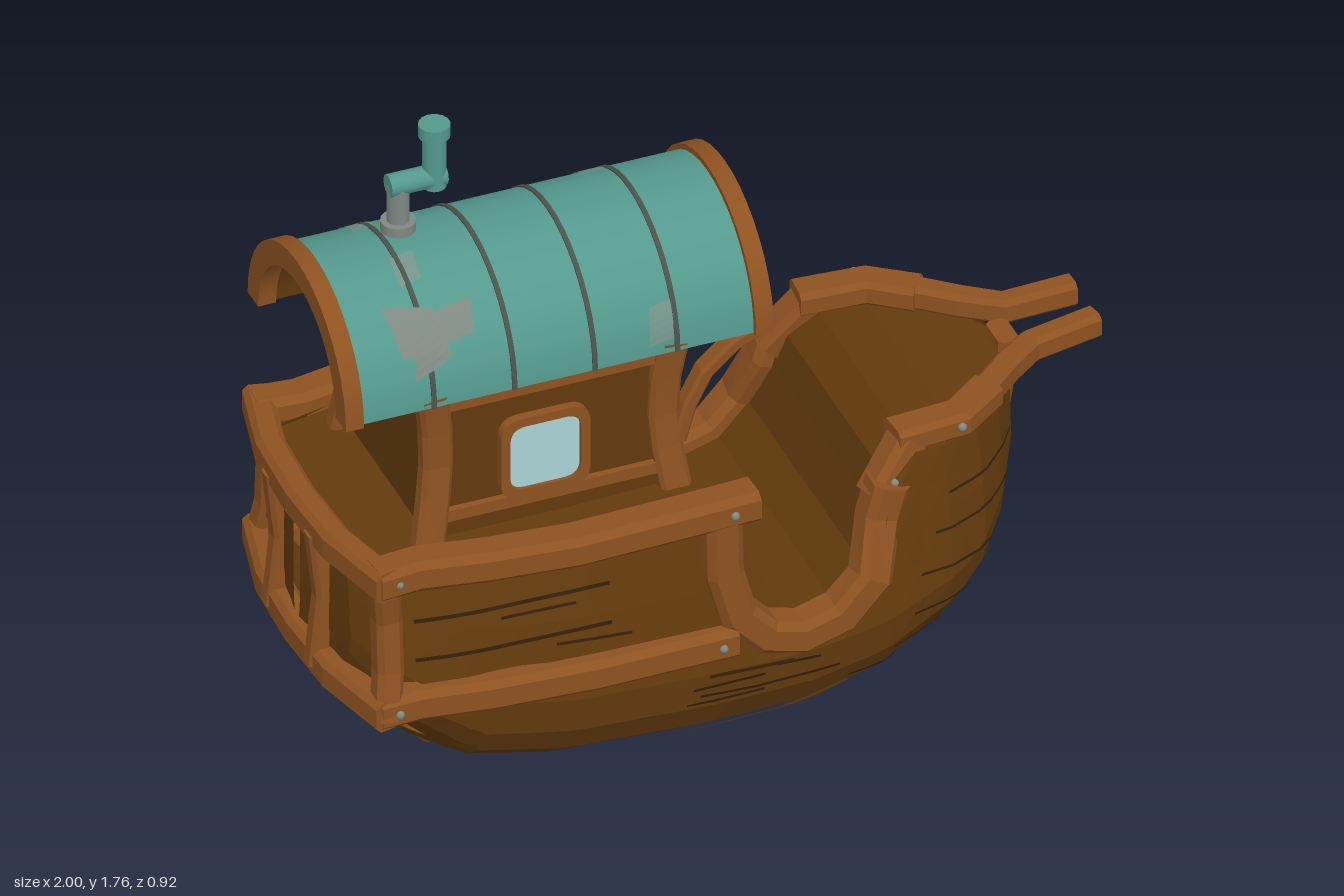
import * as THREE from 'three';
import { toCreasedNormals } from 'three/addons/utils/BufferGeometryUtils.js';

const V = (x, y, z) => new THREE.Vector3(x, y, z);
const mat = (name, color, side = THREE.FrontSide) => {
  const m = new THREE.MeshStandardMaterial({ color, side });
  m.name = name;
  return m;
};

// Linear lookup in a short [key, value] table
function look(table, k) {
  if (k <= table[0][0]) return table[0][1];
  for (let i = 1; i < table.length; i++) {
    const [a, p] = table[i - 1], [b, q] = table[i];
    if (k <= b) return p + (q - p) * (k - a) / (b - a);
  }
  return table[table.length - 1][1];
}

// Hull shape: keel height, half beam, section curve, and the boarding cut
const KEEL = [[-0.97, 0.45], [-0.9, 0.37], [-0.8, 0.24], [-0.65, 0.1], [-0.45, 0.05], [-0.1, 0.03],
  [0.15, 0.04], [0.35, 0.1], [0.55, 0.23], [0.68, 0.39], [0.75, 0.56], [0.785, 0.79]];
const BEAM = [[-0.97, 0.02], [-0.94, 0.25], [-0.9, 0.34], [-0.7, 0.39], [-0.4, 0.41], [0, 0.42],
  [0.3, 0.42], [0.5, 0.4], [0.6, 0.355], [0.68, 0.265], [0.74, 0.165], [0.785, 0.04]];
const SECTION = [[0, 0], [0.01, 0.2], [0.05, 0.4], [0.1, 0.56], [0.2, 0.81], [0.3, 0.94], [0.42, 1], [0.7, 0.95], [1, 0.86]];
const CUT = [[-0.08, 0.82], [-0.075, 0.65], [-0.04, 0.52], [0.03, 0.445], [0.12, 0.42], [0.22, 0.45],
  [0.295, 0.53], [0.335, 0.66], [0.36, 0.75], [0.43, 0.81]];
const TOP = 0.82;
const sAt = (x, y) => (y - look(KEEL, x)) / (TOP - look(KEEL, x));
const halfWidth = (x, y) => look(BEAM, x) * look(SECTION, sAt(x, y));
function hullPoint(x, y, side, off) {
  const e = 0.02, w = halfWidth(x, y);
  const n = V(halfWidth(x - e, y) - halfWidth(x + e, y), halfWidth(x, y - e) - halfWidth(x, y + e), 2 * e).normalize();
  return V(x + n.x * off, y + n.y * off, side * (w + n.z * off));
}

export function createModel() {
  const group = new THREE.Group();
  const D = THREE.DoubleSide;
  const wood = mat('dark wood', 0x633a0c, D), trim = mat('trim wood', 0x8e5220), teal = mat('teal roof', 0x54998d),
    seam = mat('dark seam', 0x4b524a, D), tin = mat('grey metal', 0x7f8983, D), lightTin = mat('light metal', 0x98a4a1, D),
    worn = mat('worn teal', 0x73948a, D), glass = mat('window glass', 0xaad3d6), crack = mat('wood cracks', 0x35200a, D);

  function add(name, geo, m, x = 0, y = 0, z = 0) {
    const mesh = new THREE.Mesh(geo, m);
    mesh.name = name;
    mesh.position.set(x, y, z);
    group.add(mesh);
    return mesh;
  }
  // Faceted surface from a grid of points
  function grid(name, nu, nv, fn, m) {
    const pos = [], idx = [];
    for (let i = 0; i <= nu; i++) for (let j = 0; j <= nv; j++) pos.push(...fn(i, j).toArray());
    for (let i = 0; i < nu; i++) for (let j = 0; j < nv; j++) {
      const a = i * (nv + 1) + j, b = a + nv + 1;
      idx.push(a, b, b + 1, a, b + 1, a + 1);
    }
    let g = new THREE.BufferGeometry();
    g.setAttribute('position', new THREE.Float32BufferAttribute(pos, 3));
    g.setIndex(idx);
    g = g.toNonIndexed();
    g.computeVertexNormals();
    return add(name, g, m);
  }
  // Chamfered timber along a path: h lies along the hint direction, w across it
  function beam(name, pts, w, h, hint) {
    const c = Math.min(w, h) * 0.2, a = w / 2, b = h / 2, out = [];
    const sec = [[a, c - b], [a, b - c], [a - c, b], [c - a, b], [-a, b - c], [-a, c - b], [c - a, -b], [a - c, -b]];
    const rings = pts.map((p, i) => {
      const t = pts[Math.min(i + 1, pts.length - 1)].clone().sub(pts[Math.max(i - 1, 0)]).normalize();
      const n = t.clone().cross(hint).normalize(), s = n.clone().cross(t);
      return sec.map(([u, v]) => p.clone().addScaledVector(n, u).addScaledVector(s, v));
    });
    const tri = (...v) => v.forEach(p => out.push(p.x, p.y, p.z));
    const last = rings.length - 1;
    for (let j = 0; j < 8; j++) {
      const k = (j + 1) % 8;
      for (let i = 0; i < last; i++) {
        const p = rings[i], q = rings[i + 1];
        tri(p[j], q[j], q[k]);
        tri(p[j], q[k], p[k]);
      }
      tri(pts[0], rings[0][j], rings[0][k]);
      tri(pts[last], rings[last][k], rings[last][j]);
    }
    const g = new THREE.BufferGeometry();
    g.setAttribute('position', new THREE.Float32BufferAttribute(out, 3));
    g.computeVertexNormals();
    return add(name, g, trim);
  }
  const Y = V(0, 1, 0), Z = V(0, 0, 1);

  // Planked hull: overlapping strakes that fade out at the bow, open at the boarding cut
  const strakes = [0, 0.03, 0.1, 0.2, 0.31, 0.44, 0.58, 0.72, 0.86, 1], rows = [];
  for (let i = 0; i + 1 < strakes.length; i++) rows.push([strakes[i], i ? 0.012 : 0], [strakes[i + 1], 0]);
  const xs = [...new Set([...KEEL, ...BEAM, ...CUT].map(p => p[0]).concat(-0.25, -0.55))].sort((a, b) => a - b);
  const R = rows.length - 1;
  grid('hull', xs.length - 1, 2 * R, (i, j) => {
    const x = xs[i], [s0, off] = rows[Math.abs(j - R)], k = look(KEEL, x);
    const s = Math.min(s0, sAt(x, look(CUT, x)));
    const fade = Math.min(1, look(BEAM, x) * 4, Math.max(0, (0.55 - x) * 4));
    return V(x, k + s * (TOP - k), Math.sign(j - R) * (halfWidth(x, k + s * (TOP - k)) + off * fade));
  }, wood);

  // Deck that dips through the boarding cut and rises to the bow
  const deck = [[-0.93, 0.81], [-0.7, 0.81], [-0.4, 0.81], ...CUT, [0.55, 0.8], [0.65, 0.8], [0.72, 0.8], [0.77, 0.8]];
  grid('deck', deck.length - 1, 1, (i, j) => {
    const [x, y] = deck[i];
    return V(x, y, (j ? 1 : -1) * (i < 3 ? 0.36 : halfWidth(x, y)));
  }, wood);

  // Keel and stem
  beam('keel', [...KEEL.map(([x, y]) => V(x, y, 0)), V(0.785, 0.83, 0)], 0.052, 0.095, Z);

  // Rails, posts and trim, mirrored to both sides
  for (const s of [1, -1]) {
    beam('upperRail', [[0.005, 0.395], [-0.2, 0.403], [-0.45, 0.41], [-0.65, 0.39], [-0.82, 0.36], [-0.93, 0.37]]
      .map(([x, z]) => V(x, 0.824, s * z)), 0.095, 0.084, Y);
    beam('lowerRail', [[-0.05, 0.41], [-0.4, 0.412], [-0.65, 0.395], [-0.82, 0.37], [-0.925, 0.375]]
      .map(([x, z]) => V(x, 0.46, s * z)), 0.08, 0.084, Y);
    beam('sternPost', [V(-0.905, 0.44, s * 0.385), V(-0.89, 0.56, s * 0.36), V(-0.89, 0.7, s * 0.35), V(-0.905, 0.82, s * 0.37)], 0.065, 0.065, Z);
    beam('sternStud', [V(-0.975, 0.45, s * 0.13), V(-0.955, 0.64, s * 0.13), V(-0.975, 0.82, s * 0.13)], 0.05, 0.05, Z);
    beam('cutTrim', CUT.slice(0, 9).map(([x, y]) => V(x, y, s * (x > 0.32 ? 0.345 : 0.395))), 0.09, 0.095, Z);
    beam('bowRailRise', [V(0.335, 0.7, s * 0.33), V(0.43, 0.82, s * 0.297)], 0.085, 0.09, Z);
    beam('bowRail', [[0.4, 0.297], [0.55, 0.288], [0.63, 0.235], [0.74, 0.14], [0.82, 0.083], [0.995, s > 0 ? 0.047 : 0.09]]
      .map(([x, z], i) => V(x, 0.832, s * z)), 0.062, 0.066, Y);
    beam('bowRailShoulder', [V(0.39, 0.832, s * 0.297), V(0.56, 0.832, s * 0.285), V(0.66, 0.832, s * 0.21)], 0.088, 0.066, Y);
    // Rivets
    for (const [x, y, z] of [[-0.88, 0.825, 0.408], [-0.06, 0.825, 0.446], [-0.88, 0.46, 0.413], [-0.09, 0.46, 0.45], [0.37, 0.75, 0.363], [0.55, 0.84, 0.334]])
      add('rivet', new THREE.SphereGeometry(0.011, 8, 6), tin, x, y, s * z);
  }
  for (const [y, name] of [[0.824, 'sternUpperRail'], [0.46, 'sternLowerRail']])
    beam(name, [V(-0.905, y, 0.405), V(-0.955, y, 0.2), V(-0.965, y, 0), V(-0.955, y, -0.2), V(-0.905, y, -0.405)], 0.07, 0.08, Y);

  // Loose planks and cracks on the hull
  let seed = 7;
  const rnd = () => (seed = (seed * 16807) % 2147483647) / 2147483647;
  const hullPatch = (name, x0, x1, y0, y1, s, off, m, skew = 0) => grid(name, 6, 2, (i, j) => {
    const x = x0 + (x1 - x0) * i / 6;
    return hullPoint(x, y0 + (y1 - y0) * j / 2 + skew * i / 6, s, off);
  }, m);
  for (const s of [1, -1]) {
    for (let i = 0; i < 12; i++) {
      const x = -0.75 + 1.1 * rnd(), y = 0.24 + 0.14 * rnd() + (x < -0.3 ? 0.35 * rnd() : 0);
      hullPatch('crack', x, x + 0.1 + 0.12 * rnd(), y, y + 0.008, s, 0.01, crack, 0.02 * rnd() - 0.01);
    }
    for (const y of [0.56, 0.66, 0.74]) hullPatch('crack', -0.82, -0.35, y, y + 0.01, s, 0.012, crack, 0.01);
    for (const [x0, x1, y] of [[0.42, 0.66, 0.5], [0.46, 0.7, 0.6], [0.5, 0.72, 0.69], [0.4, 0.56, 0.4], [0.36, 0.5, 0.3]])
      hullPatch('bowCrack', x0, x1, y, y + 0.007, s, 0.006, crack, 0.01);
    hullPatch('loosePlank', -0.2, 0.28, 0.12, 0.17, s, 0.017, wood, 0.02);
    hullPatch('loosePlank', -0.8, -0.66, 0.3, 0.25, s, 0.02, wood);
  }

  // Metal patch on the bow, laid on the hull by solving for x
  const quad = [V(0, 0.315, -0.105), V(0, 0.435, -0.31), V(0, 0.2, -0.16), V(0, 0.31, -0.355)];
  grid('bowPatch', 6, 6, (i, j) => {
    const p = quad[0].clone().lerp(quad[1], i / 6).lerp(quad[2].clone().lerp(quad[3], i / 6), j / 6);
    let a = 0.2, b = 0.785;
    for (let k = 0; k < 24; k++) {
      const c = (a + b) / 2;
      if (halfWidth(c, p.y) > -p.z) a = c; else b = c;
    }
    return hullPoint(a, p.y, -1, 0.018);
  }, lightTin);

  // Arched roof pieces, extruded along x
  const BASE = 1.21, arc = (r, a) => [r * Math.cos(a), r * 0.945 * Math.sin(a)];
  const arcPts = (r, n = 20) => Array.from({ length: n + 1 }, (_, i) => new THREE.Vector2(...arc(r, Math.PI * i / n)));
  const alongX = (name, shape, x0, x1, y, m) => {
    const g = new THREE.ExtrudeGeometry(shape, { depth: x1 - x0, bevelEnabled: false }).rotateY(Math.PI / 2);
    return add(name, toCreasedNormals(g, 0.5), m, x0, y, 0);
  };
  const arch = (name, x0, x1, ro, ri, m) => alongX(name, new THREE.Shape([...arcPts(ro), ...arcPts(ri).reverse()]), x0, x1, BASE, m);
  arch('roof', -0.93, 0.06, 0.287, 0.272, teal);
  arch('roofLining', -0.93, 0.06, 0.271, 0.25, wood);
  for (const x of [-0.97, 0.05]) arch('roofEndTrim', x, x + 0.045, 0.302, 0.238, trim);
  for (const x of [-0.745, -0.545, -0.345, -0.14]) arch('roofSeam', x - 0.006, x + 0.006, 0.291, 0.28, seam);
  const roofPatch = (name, x0, x1, a0, a1, r, m, skew = 0) => grid(name, 2, 5, (i, j) => {
    const [z, y] = arc(r, a0 + (a1 - a0) * j / 5 + skew * i);
    return V(x0 + (x1 - x0) * i / 2 + skew * j * 0.1, BASE + y, z);
  }, m);
  roofPatch('roofPatch', -0.81, -0.69, 0.5, 0.95, 0.294, tin, -0.04);
  roofPatch('roofPatch', -0.74, -0.63, 0.53, 0.82, 0.295, tin, 0.03);
  roofPatch('roofPatch', -0.79, -0.71, 0.3, 0.72, 0.298, tin, 0.05);
  for (const [x, a0, a1] of [[-0.21, 0.1, 0.45], [-0.79, 1.9, 2.6], [-0.21, 2, 2.5], [-0.77, 1.1, 1.4]])
    roofPatch('wornSpot', x, x + 0.06, a0, a1, 0.2895, worn, 0.02);

  // Cabin: arched end walls, side walls, posts, braces and windows
  const endWall = new THREE.Shape([new THREE.Vector2(0.24, 0.8 - BASE), ...arcPts(0.255), new THREE.Vector2(-0.24, 0.8 - BASE)]);
  alongX('frontWall', endWall, -0.18, -0.155, BASE, wood);
  alongX('backWall', endWall, -0.74, -0.715, BASE, wood);
  const rounded = (path, r, c) => {
    path.moveTo(-r + c, -r);
    for (const [x, y] of [[1, -1], [1, 1], [-1, 1], [-1, -1]]) {
      const h = x * y < 0;
      path.lineTo(x * (h ? r - c : r), y * (h ? r : r - c));
      path.quadraticCurveTo(x * r, y * r, x * (h ? r : r - c), y * (h ? r - c : r));
    }
    return path;
  };
  for (const s of [1, -1]) {
    add('sideWall', new THREE.BoxGeometry(0.57, 0.43, 0.025), wood, -0.45, 1.01, s * 0.235);
    for (const y of [1.185, 0.875]) add('wallTrim', new THREE.BoxGeometry(0.57, 0.03, 0.03), trim, -0.45, y, s * 0.25);
    for (const [x, d] of [[-0.735, -1], [-0.15, 1]])
      beam('cabinPost', [[1.23, 0.008, 0.262], [1.12, -0.008, 0.248], [1.02, -0.012, 0.242], [0.93, -0.004, 0.246], [0.8, 0.016, 0.26]]
        .map(([y, dx, z]) => V(x + d * dx, y, s * z)), 0.075, 0.05, Z);
    beam('roofBrace', [V(0.08, 1.215, s * 0.26), V(0.01, 1.18, s * 0.257), V(-0.06, 1.115, s * 0.253), V(-0.1, 1.03, s * 0.248), V(-0.125, 0.94, s * 0.246)], 0.036, 0.05, Z);
    const frame = rounded(new THREE.Shape(), 0.111, 0.05);
    frame.holes.push(rounded(new THREE.Path(), 0.088, 0.04));
    const fg = new THREE.ExtrudeGeometry(frame, { depth: 0.03, bevelEnabled: false });
    const pane = new THREE.ExtrudeGeometry(rounded(new THREE.Shape(), 0.09, 0.038), { depth: 0.008, bevelEnabled: false });
    add('windowFrame', fg, trim, -0.46, 0.995, s > 0 ? 0.24 : -0.27);
    add('windowPane', pane, glass, -0.46, 0.995, s > 0 ? 0.252 : -0.26);
  }
  add('frontBeam', new THREE.BoxGeometry(0.03, 0.03, 0.5), wood, -0.15, 1.215, 0);

  // Arched plank door
  const doorArc = (r) => [new THREE.Vector2(r, -0.27), ...Array.from({ length: 13 }, (_, i) =>
    new THREE.Vector2(r * Math.cos(Math.PI * i / 12), r * Math.sin(Math.PI * i / 12))), new THREE.Vector2(-r, -0.27)];
  alongX('doorFrame', new THREE.Shape([...doorArc(0.108), ...doorArc(0.085).reverse()]), -0.156, -0.125, 1.075, trim);
  alongX('door', new THREE.Shape(doorArc(0.086)), -0.156, -0.145, 1.075, wood);
  for (const z of [-0.045, -0.015, 0.015, 0.045])
    add('doorGap', new THREE.BoxGeometry(0.006, 0.33, 0.01), crack, -0.144, 0.97, z);

  // Crooked chimney pipe
  const tube = (name, r, h, x, y, m) => add(name, new THREE.CylinderGeometry(r, r, h, 14), m, x, y, -0.045);
  tube('chimneyFlange', 0.042, 0.025, -0.7, 1.5, tin);
  tube('chimneyLower', 0.027, 0.12, -0.7, 1.55, tin);
  tube('chimneyElbow', 0.028, 0.14, -0.655, 1.613, teal).rotation.z = Math.PI / 2;
  tube('chimneyUpper', 0.029, 0.15, -0.61, 1.66, teal);
  tube('chimneyCap', 0.038, 0.033, -0.61, 1.743, teal);
  return group;
}
